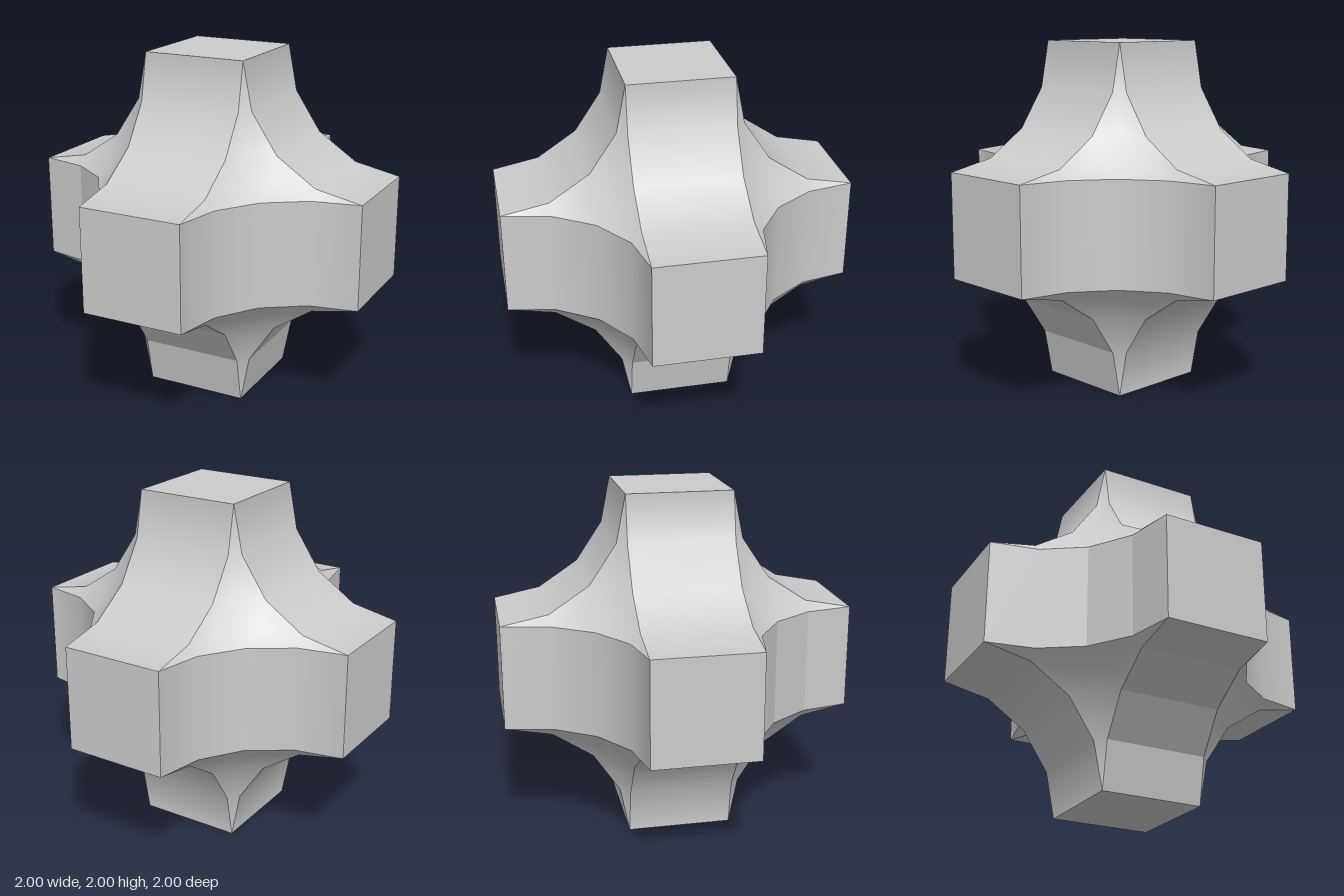
import * as THREE from 'three';

const HALF = 0.3;         // half width of each square arm
const R = 1 - HALF;       // radius of the concave fillets
const SEG = 4;            // segments per quarter fillet

const smooth = new THREE.MeshStandardMaterial({ color: 0xcccccc });
const faceted = new THREE.MeshStandardMaterial({ color: 0xcccccc, flatShading: true });

function surface(name, points, normals, index, material) {
  const g = new THREE.BufferGeometry();
  g.setAttribute('position', new THREE.Float32BufferAttribute(points.flatMap(p => p.toArray()), 3));
  g.setAttribute('normal', new THREE.Float32BufferAttribute(normals.flatMap(n => n.toArray()), 3));
  g.setIndex(index);
  const mesh = new THREE.Mesh(g, material);
  mesh.name = name;
  return mesh;
}

// Quarter-cylinder hollow joining the arms along directions a and b
function filletStrip(a, b, material) {
  const c = a.clone().cross(b);
  const points = [], normals = [], index = [];
  for (let i = 0; i <= SEG; i++) {
    const t = (i / SEG) * Math.PI / 2;
    const n = a.clone().multiplyScalar(Math.cos(t)).addScaledVector(b, Math.sin(t));
    for (const side of [-HALF, HALF]) {
      points.push(a.clone().add(b).addScaledVector(n, -R).addScaledVector(c, side));
      normals.push(n);
    }
    if (i < SEG) {
      const k = i * 2;
      index.push(k, k + 1, k + 2, k + 1, k + 3, k + 2);
    }
  }
  return surface('filletStrip', points, normals, index, material);
}

// Spherical hollow triangle between three fillets, one per octant
function cornerHollow(sx, sy, sz) {
  const sign = new THREE.Vector3(sx, sy, sz);
  const points = [], normals = [], index = [], rows = [];
  for (let i = 0; i <= SEG; i++) {
    rows.push(points.length);
    for (let j = 0; j <= i; j++) {
      const weights = [1 - i / SEG, (i - j) / SEG, j / SEG];
      const n = new THREE.Vector3(...weights.map(w => Math.cos(w * Math.PI / 2)))
        .normalize().multiply(sign);
      points.push(sign.clone().addScaledVector(n, -R * Math.SQRT2));
      normals.push(n);
    }
  }
  const tri = (a, b, c) => sx * sy * sz > 0 ? index.push(a, b, c) : index.push(a, c, b);
  for (let i = 0; i < SEG; i++) {
    for (let j = 0; j <= i; j++) {
      const p = rows[i] + j, q = rows[i + 1] + j;
      tri(p, q, q + 1);
      if (j < i) tri(p, q + 1, p + 1);
    }
  }
  return surface('cornerHollow', points, normals, index, smooth);
}

export function createModel() {
  const model = new THREE.Group();
  model.name = 'sixArmJunction';
  const body = new THREE.Group();
  body.name = 'body';
  body.position.y = 1;
  model.add(body);

  const dirs = {
    right: new THREE.Vector3(-1, 0, 0), left: new THREE.Vector3(1, 0, 0),
    top: new THREE.Vector3(0, 1, 0), bottom: new THREE.Vector3(0, -1, 0),
    front: new THREE.Vector3(0, 0, 1), back: new THREE.Vector3(0, 0, -1),
  };
  const names = Object.keys(dirs);

  // Square arm ends
  for (const name of names) {
    const end = new THREE.Mesh(new THREE.PlaneGeometry(HALF * 2, HALF * 2), smooth);
    end.name = name + 'ArmEnd';
    end.position.copy(dirs[name]);
    end.quaternion.setFromUnitVectors(new THREE.Vector3(0, 0, 1), dirs[name]);
    if (name === 'back') end.rotation.set(0, Math.PI, 0);
    body.add(end);
  }

  // Twelve fillets between neighbouring arms; three of them are faceted
  const facetedPairs = ['bottom-front', 'left-bottom', 'right-front'];
  names.forEach((a, i) => names.slice(i + 1).forEach(b => {
    if (dirs[a].dot(dirs[b]) !== 0) return;
    const strip = filletStrip(dirs[a], dirs[b], facetedPairs.includes(a + '-' + b) ? faceted : smooth);
    strip.name = a + '-' + b + ' fillet';
    body.add(strip);
  }));

  // Eight corner hollows
  for (const x of [-1, 1]) for (const y of [-1, 1]) for (const z of [-1, 1]) body.add(cornerHollow(x, y, z));

  return model;
}
